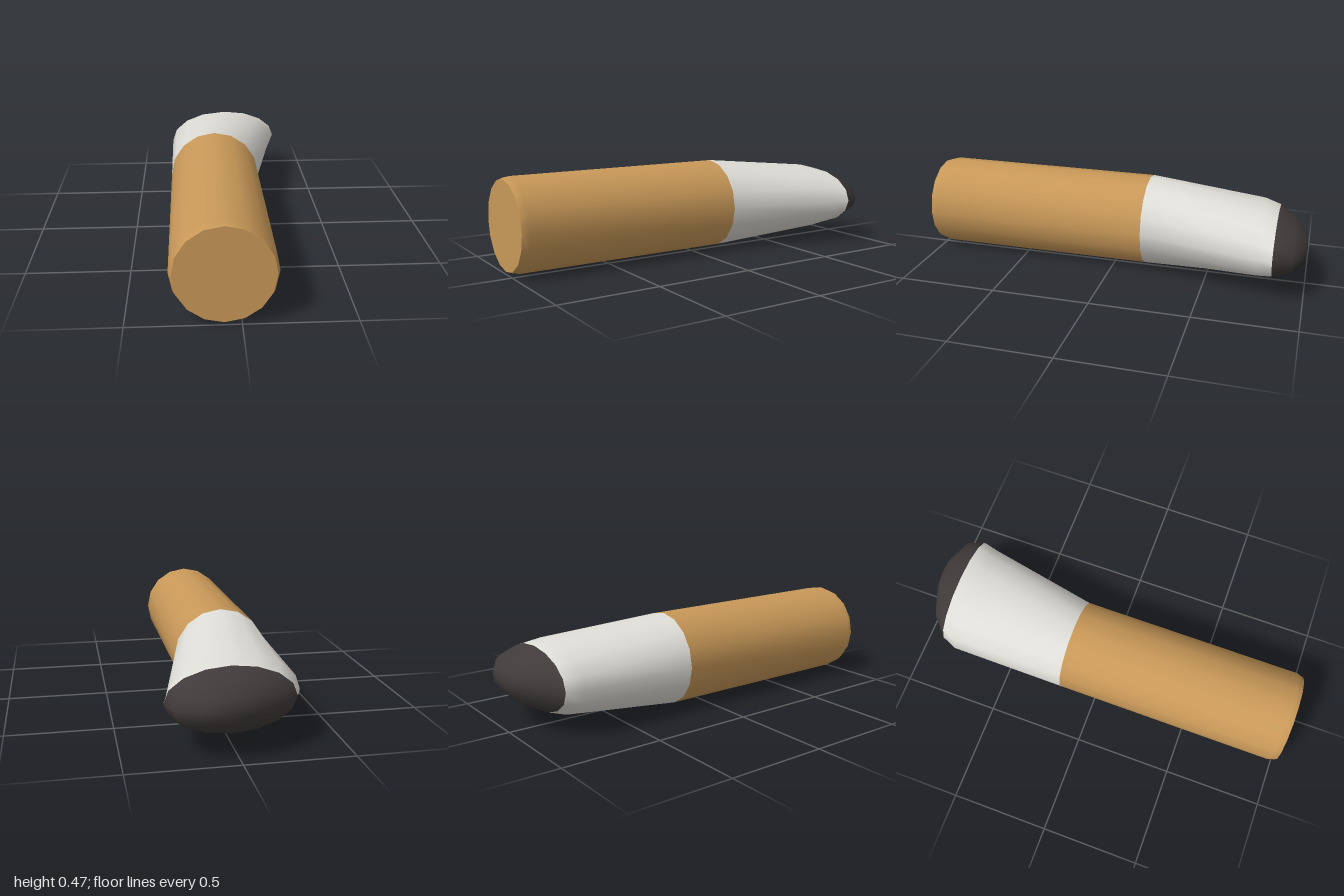
import * as THREE from 'three';

const SIDES = 16;
const Y = 0.235; // height of the axis

// Skin a run of elliptical rings [z, centreX, halfWidth, halfHeight], front to back,
// optionally closed with a pole point [z, x].
function skin(rings, pole) {
  const pos = [], idx = [];
  for (const [z, cx, w, h] of rings) {
    for (let j = 0; j < SIDES; j++) {
      const a = (j / SIDES) * Math.PI * 2;
      pos.push(cx + w * Math.cos(a), Y + h * Math.sin(a), z);
    }
  }
  for (let i = 0; i < rings.length - 1; i++) {
    for (let j = 0; j < SIDES; j++) {
      const k = (j + 1) % SIDES;
      const a = i * SIDES + j, b = i * SIDES + k;
      const c = a + SIDES, d = b + SIDES;
      idx.push(a, c, b, b, c, d);
    }
  }
  if (pole) {
    const base = (rings.length - 1) * SIDES, p = pos.length / 3;
    pos.push(pole[1], Y, pole[0]);
    for (let j = 0; j < SIDES; j++) idx.push(base + j, p, base + (j + 1) % SIDES);
  }
  const g = new THREE.BufferGeometry();
  g.setAttribute('position', new THREE.Float32BufferAttribute(pos, 3));
  g.setIndex(idx);
  g.computeVertexNormals();
  return g;
}

function material(name, color) {
  const m = new THREE.MeshStandardMaterial({ color });
  m.name = name;
  return m;
}

export function createModel() {
  const group = new THREE.Group();
  group.name = 'cigaretteButt';
  const tan = material('filterTan', 0xc89858);
  const white = material('paperWhite', 0xdedcd6);
  const dark = material('ashDark', 0x403a3a);

  const add = (name, geometry, mat) => {
    const mesh = new THREE.Mesh(geometry, mat);
    mesh.name = name;
    group.add(mesh);
    return mesh;
  };

  // Filter: straight tube with a small bevel at the mouth end
  add('filter', skin([
    [1, -0.075, 0.222, 0.222],
    [0.965, -0.075, 0.234, 0.234],
    [-0.17, -0.075, 0.234, 0.234],
  ]), tan);
  add('filterEnd', new THREE.CircleGeometry(0.222, SIDES), tan).position.set(-0.075, Y, 1);

  // Paper: flattens, widens and bends towards the crushed end
  add('paper', skin([
    [-0.17, -0.075, 0.234, 0.234],
    [-0.765, -0.01, 0.301, 0.176],
    [-0.845, 0.018, 0.294, 0.154],
  ]), white);

  // Burnt tip: flattened dome leaning to one side
  add('burntTip', skin([
    [-0.845, 0.018, 0.294, 0.154],
    [-0.932, 0.05, 0.232, 0.112],
    [-0.986, 0.068, 0.108, 0.055],
  ], [-1, 0.078]), dark);

  return group;
}
